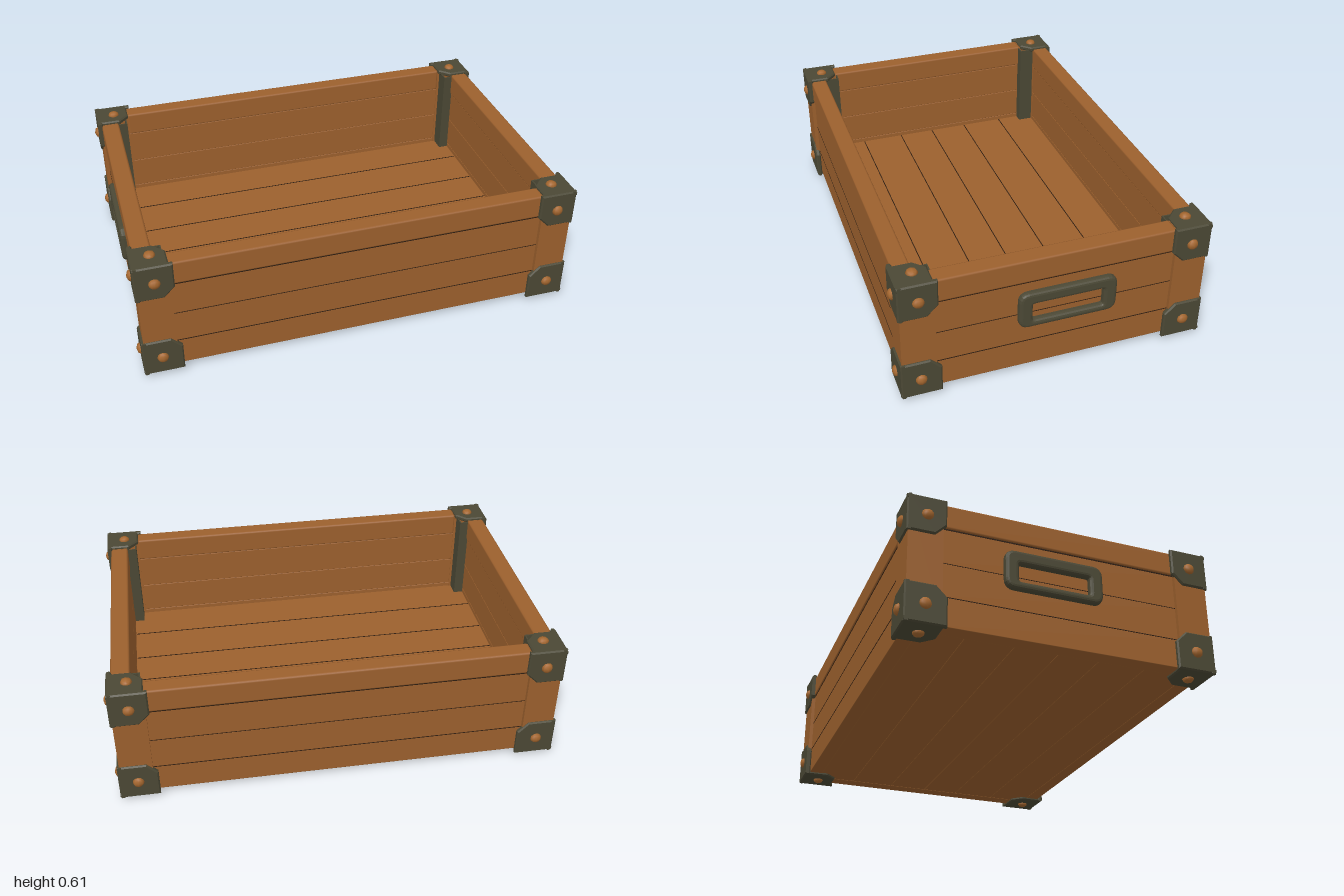
import * as THREE from 'three';
import { RoundedBoxGeometry } from 'three/addons/geometries/RoundedBoxGeometry.js';

const material = (name, color) => {
  const m = new THREE.MeshStandardMaterial({ color });
  m.name = name;
  return m;
};

// Rectangle with rounded corners, drawn into a Shape or Path
function roundedRect(path, cx, cy, w, h, r) {
  const x = cx - w / 2, y = cy - h / 2;
  path.moveTo(x + r, y);
  path.lineTo(x + w - r, y).quadraticCurveTo(x + w, y, x + w, y + r);
  path.lineTo(x + w, y + h - r).quadraticCurveTo(x + w, y + h, x + w - r, y + h);
  path.lineTo(x + r, y + h).quadraticCurveTo(x, y + h, x, y + h - r);
  path.lineTo(x, y + r).quadraticCurveTo(x, y, x + r, y);
  return path;
}

// Square plate with its inner corner cut off, outer corner at the origin
function bracketPlate(size) {
  const cut = 0.05, b = 0.006;
  const outline = new THREE.Shape();
  outline.moveTo(-b, -b);
  outline.lineTo(-size + b, -b);
  outline.lineTo(-size + b, -size + cut);
  outline.lineTo(-size + cut, -size + b);
  outline.lineTo(-b, -size + b);
  outline.closePath();
  const geo = new THREE.ExtrudeGeometry(outline, {
    depth: 0.012, bevelThickness: b, bevelSize: b, bevelSegments: 1,
  });
  return geo.translate(0, 0, -0.012 - b);
}

export function createModel() {
  const wood = material('wood', 0x9c602d);
  const iron = material('dark iron', 0x4b4835);
  const rivetWood = material('rivet copper', 0xa5672f);
  const gap = material('gap shadow', 0x2e1d10);
  const model = new THREE.Group();
  model.name = 'crate';

  // Box given by its minimum and maximum on each axis
  const add = (name, mat, x0, x1, y0, y1, z0, z1, bevel = 0) => {
    const w = x1 - x0, h = y1 - y0, d = z1 - z0;
    const geo = bevel ? new RoundedBoxGeometry(w, h, d, 1, bevel) : new THREE.BoxGeometry(w, h, d);
    const mesh = new THREE.Mesh(geo, mat);
    mesh.name = name;
    mesh.position.set((x0 + x1) / 2, (y0 + y1) / 2, (z0 + z1) / 2);
    model.add(mesh);
  };
  // Mirror a range to the other side of zero
  const side = (s, a, b) => (s > 0 ? [a, b] : [-b, -a]);

  // Walls: three planks and a proud rim, with dark seams on the outside
  const courses = [[0.03, 0.16], [0.16, 0.31], [0.31, 0.47]];
  const wallSeams = [[0.16, 0.0015], [0.31, 0.001], [0.469, 0.004]];
  for (const s of [-1, 1]) {
    for (const [y0, y1] of courses) {
      add('longWallPlank', wood, -0.832, 0.832, y0, y1, ...side(s, 0.585, 0.65), 0.003);
      add('endWallPlank', wood, ...side(s, 0.888, 0.957), y0, y1, -0.522, 0.522, 0.003);
    }
    for (const [y, half] of wallSeams) {
      add('longWallSeam', gap, -0.83, 0.83, y - half, y + half, ...side(s, 0.645, 0.651));
      add('endWallSeam', gap, ...side(s, 0.952, 0.958), y - half, y + half, -0.52, 0.52);
    }
    add('longRim', wood, -0.832, 0.832, 0.47, 0.58, ...side(s, 0.58, 0.657), 0.009);
    add('endRim', wood, ...side(s, 0.883, 0.965), 0.47, 0.579, -0.522, 0.522, 0.009);
  }

  // Floor: six planks with dark seams on top
  const joints = [-0.587, -0.4, -0.19, 0, 0.18, 0.39, 0.587];
  for (let i = 0; i < 6; i++) {
    add('floorPlank', wood, -0.889, 0.889, 0.032, 0.14, joints[i], joints[i + 1], 0.003);
    if (i > 0) add('floorSeam', gap, -0.885, 0.885, 0.135, 0.141, joints[i] - 0.002, joints[i] + 0.002);
  }

  // Corner posts: L-shaped uprights, with a thin iron angle standing inside
  for (const sx of [-1, 1]) {
    for (const sz of [-1, 1]) {
      const corner = [[0.83, 0.667], [0.973, 0.667], [0.973, 0.52], [0.886, 0.52], [0.886, 0.583], [0.83, 0.583]];
      const section = new THREE.Shape(corner.map(([x, z]) => new THREE.Vector2(sx * x, -sz * z)));
      const post = new THREE.Mesh(new THREE.ExtrudeGeometry(section, { depth: 0.545, bevelEnabled: false }), wood);
      post.name = 'cornerPost';
      post.rotation.x = -Math.PI / 2;
      post.position.y = 0.031;
      model.add(post);
      add('innerAnglePlate', iron, ...side(sx, 0.842, 0.848), 0.138, 0.572, ...side(sz, 0.512, 0.585));
      add('innerAnglePlate', iron, ...side(sx, 0.842, 0.888), 0.138, 0.572, ...side(sz, 0.512, 0.518));
    }
  }

  const rivetGeo = new THREE.SphereGeometry(0.025, 8, 6);
  rivetGeo.scale(1, 1, 0.68);

  // Eight brackets, each of three riveted plates turned about the corner diagonal
  const diagonal = new THREE.Vector3(1, 1, 1).normalize();
  for (const top of [true, false]) {
    const sidePlate = bracketPlate(top ? 0.167 : 0.175);
    const flatPlate = bracketPlate(top ? 0.152 : 0.165);
    for (const sx of [-1, 1]) {
      for (const sz of [-1, 1]) {
        const bracket = new THREE.Group();
        bracket.name = top ? 'topCornerBracket' : 'bottomCornerBracket';
        for (let i = 0; i < 3; i++) {
          const face = new THREE.Group();
          face.name = 'bracketFace';
          const plate = new THREE.Mesh(i === 2 ? flatPlate : sidePlate, iron);
          plate.name = 'bracketPlate';
          const rivet = new THREE.Mesh(rivetGeo, rivetWood);
          rivet.name = 'rivet';
          rivet.position.set(-0.085, -0.085, 0);
          face.add(plate, rivet);
          face.quaternion.setFromAxisAngle(diagonal, (i * Math.PI * 2) / 3);
          bracket.add(face);
        }
        // Turn the corner (+x, +z) to the wanted quadrant; flip for the base
        const quadrant = Math.atan2(sx, sz) - Math.PI / 4;
        if (top) bracket.rotation.y = quadrant;
        else bracket.rotation.set(Math.PI, -quadrant + Math.PI / 2, 0);
        bracket.position.set(sx * 0.983, top ? 0.589 : 0.018, sz * 0.675);
        model.add(bracket);
      }
    }
  }

  // Handles: rounded iron loops on both ends
  const loop = roundedRect(new THREE.Shape(), 0, 0, 0.402, 0.146, 0.028);
  loop.holes.push(roundedRect(new THREE.Path(), 0, -0.011, 0.342, 0.112, 0.025));
  const handleGeo = new THREE.ExtrudeGeometry(loop, {
    depth: 0.014, bevelThickness: 0.015, bevelSize: 0.015, bevelSegments: 3, curveSegments: 4,
  });
  for (const s of [-1, 1]) {
    const handle = new THREE.Mesh(handleGeo, iron);
    handle.name = s > 0 ? 'leftHandle' : 'rightHandle';
    handle.rotation.y = (s * Math.PI) / 2;
    handle.position.set(s * 0.955, 0.335, -0.045);
    model.add(handle);
  }
  return model;
}
